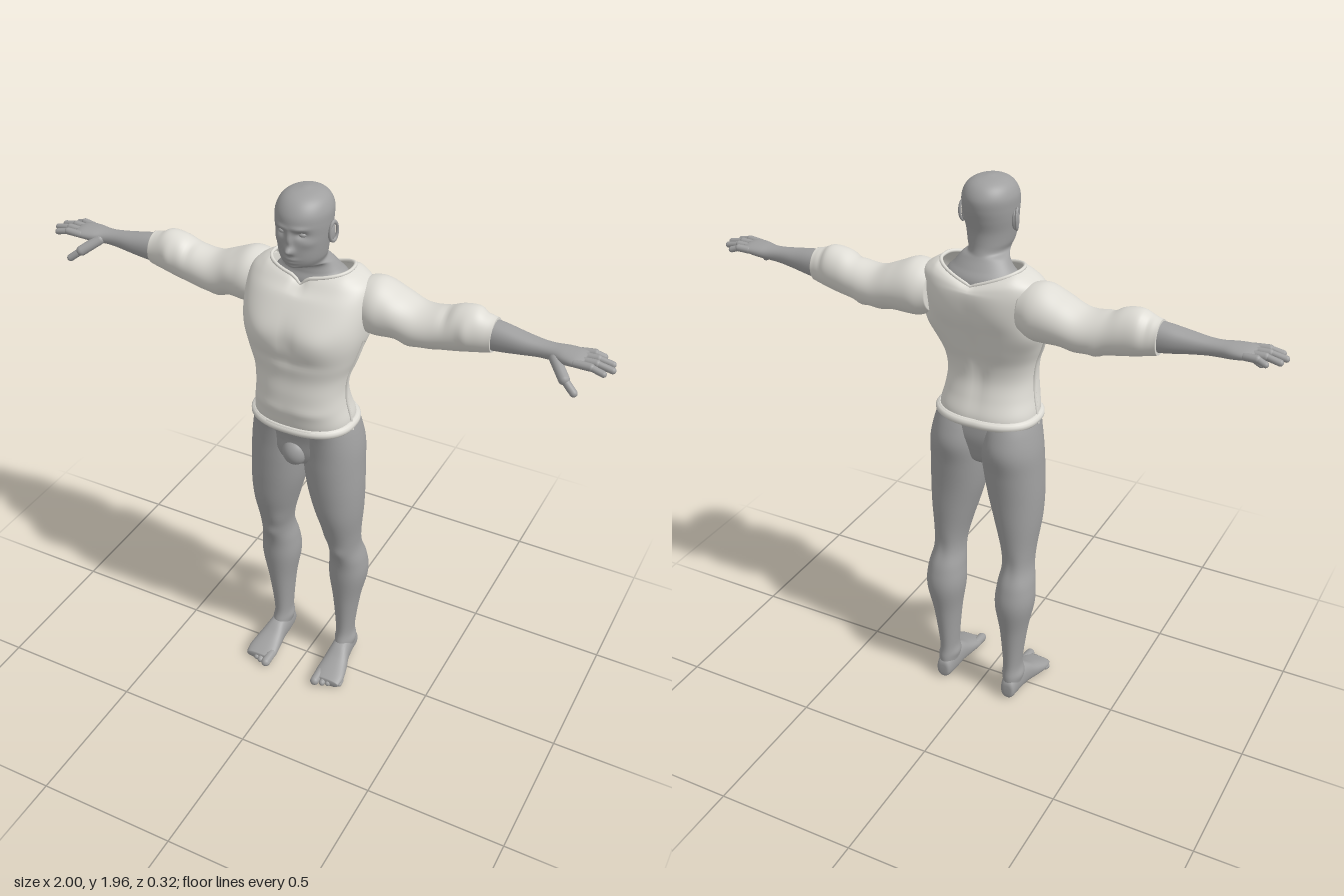
import * as THREE from 'three';

const skin = new THREE.MeshStandardMaterial({ color: 0xa0a0a0 });
skin.name = 'skin grey';
const cloth = new THREE.MeshStandardMaterial({ color: 0xdedcd5, side: THREE.DoubleSide });
cloth.name = 'shirt off-white';

// maps (distance along axis, ring a, ring b) to x, y, z
const AXES = {
  x: (t, a, b) => [t, a, b],
  y: (t, a, b) => [a, t, b],
  z: (t, a, b) => [a, b, t],
};

function spline(p0, p1, p2, p3, u) {
  const m1 = (p2 - p0) / 2, m2 = (p3 - p1) / 2, u2 = u * u, u3 = u2 * u;
  return (2 * u3 - 3 * u2 + 1) * p1 + (u3 - 2 * u2 + u) * m1 + (3 * u2 - 2 * u3) * p2 + (u3 - u2) * m2;
}

// Smooth skin over sections [t, a0, a1, b0, b1]; bumps are [x, y, z, rx, ry, rz, height], mirrored in x
function loft(axis, sections, { segs = 40, sub = 6, n = 2, bumps = [], caps = [true, true], warp } = {}) {
  const rows = [];
  const last = sections.length - 1;
  for (let i = 0; i < last; i++) {
    const s = [i - 1, i, i + 1, i + 2].map((k) => sections[Math.min(last, Math.max(0, k))]);
    for (let j = 0; j < sub; j++) rows.push(s[1].map((_, c) => spline(s[0][c], s[1][c], s[2][c], s[3][c], j / sub)));
  }
  rows.push(sections[last]);
  const pos = [], idx = [];
  const tri = (a, b, c) => (axis === 'y' ? idx.push(a, c, b) : idx.push(a, b, c));
  const round = (v) => Math.sign(v) * Math.abs(v) ** (2 / n);
  for (const [t, a0, a1, b0, b1] of rows) {
    for (let i = 0; i < segs; i++) {
      const th = (i / segs) * Math.PI * 2;
      const da = ((a1 - a0) / 2) * round(Math.cos(th)), db = ((b1 - b0) / 2) * round(Math.sin(th));
      const ca = (a0 + a1) / 2, cb = (b0 + b1) / 2;
      const [x, y, z] = AXES[axis](t, ca + da, cb + db);
      let push = 0;
      for (const [bx, by, bz, rx, ry, rz, h] of bumps) {
        push += h * Math.exp(-(((Math.abs(x) - bx) / rx) ** 2) - ((y - by) / ry) ** 2 - ((z - bz) / rz) ** 2);
      }
      const k = 1 + push / (Math.hypot(da, db) || 1);
      const p = AXES[axis](t, ca + da * k, cb + db * k);
      if (warp) warp(p);
      pos.push(...p);
    }
  }
  for (let r = 0; r < rows.length - 1; r++) {
    for (let i = 0; i < segs; i++) {
      const a = r * segs + i, b = r * segs + ((i + 1) % segs);
      tri(a, b, b + segs);
      tri(a, b + segs, a + segs);
    }
  }
  [0, rows.length - 1].forEach((r, end) => {
    if (!caps[end]) return;
    const [t, a0, a1, b0, b1] = rows[r];
    const c = pos.length / 3;
    pos.push(...AXES[axis](t, (a0 + a1) / 2, (b0 + b1) / 2));
    for (let i = 0; i < segs; i++) {
      const a = r * segs + i, b = r * segs + ((i + 1) % segs);
      end ? tri(a, b, c) : tri(b, a, c);
    }
  });
  const g = new THREE.BufferGeometry();
  g.setAttribute('position', new THREE.Float32BufferAttribute(pos, 3));
  g.setIndex(idx);
  g.computeVertexNormals();
  return g;
}

// symmetric section about x = 0
const sym = (list) => list.map(([y, w, z0, z1]) => [y, -w, w, z0, z1]);

function capsule(a, b, r) {
  const va = new THREE.Vector3(...a), vb = new THREE.Vector3(...b), d = vb.clone().sub(va);
  const g = new THREE.CapsuleGeometry(r, d.length(), 6, 12);
  g.applyQuaternion(new THREE.Quaternion().setFromUnitVectors(new THREE.Vector3(0, 1, 0), d.normalize()));
  return g.translate(...va.add(vb).multiplyScalar(0.5).toArray());
}

function ellipsoid(x, y, z, rx, ry, rz) {
  return new THREE.SphereGeometry(1, 24, 16).scale(rx, ry, rz).translate(x, y, z);
}

function mirrored(geo) {
  const g = geo.clone().scale(-1, 1, 1), id = g.index.array;
  for (let i = 0; i < id.length; i += 3) [id[i], id[i + 1]] = [id[i + 1], id[i]];
  g.computeVertexNormals();
  return g;
}

export function createModel() {
  const model = new THREE.Group();
  model.name = 'figure';
  const add = (name, geo, mat) => {
    const m = new THREE.Mesh(geo, mat);
    m.name = name;
    model.add(m);
  };
  const pair = (name, geo, mat) => {
    add(name + 'Left', geo, mat);
    add(name + 'Right', mirrored(geo), mat);
  };

  // Head and neck with sculpted face
  add('headAndNeck', loft('y', sym([
    [1.6, 0.13, -0.135, 0.045], [1.65, 0.125, -0.128, 0.04], [1.68, 0.1, -0.108, 0.03], [1.708, 0.079, -0.088, 0.036],
    [1.724, 0.064, -0.08, 0.09], [1.75, 0.072, -0.075, 0.108], [1.79, 0.079, -0.075, 0.113], [1.83, 0.085, -0.085, 0.114],
    [1.865, 0.088, -0.093, 0.118], [1.9, 0.087, -0.094, 0.113], [1.93, 0.073, -0.078, 0.093], [1.948, 0.047, -0.05, 0.063],
    [1.957, 0.008, -0.003, 0.015],
  ]), {
    segs: 96, sub: 8, bumps: [
      [0, 1.825, 0.12, 0.009, 0.025, 0.06, 0.012], [0, 1.79, 0.12, 0.013, 0.013, 0.06, 0.022],
      [0.034, 1.843, 0.1, 0.017, 0.011, 0.05, -0.011], [0.03, 1.865, 0.115, 0.025, 0.007, 0.05, 0.005],
      [0, 1.76, 0.115, 0.022, 0.006, 0.05, 0.006], [0, 1.747, 0.115, 0.019, 0.005, 0.05, 0.006],
      [0, 1.728, 0.1, 0.02, 0.01, 0.05, 0.007], [0.05, 1.815, 0.09, 0.02, 0.015, 0.04, 0.004],
    ],
  }), skin);
  pair('eye', ellipsoid(0.034, 1.843, 0.091, 0.014, 0.009, 0.012), skin);
  pair('ear', ellipsoid(0.088, 1.825, 0.005, 0.01, 0.034, 0.018).rotateX(0), skin);
  pair('earRim', new THREE.TorusGeometry(0.02, 0.005, 8, 24).scale(0.85, 1.55, 1)
    .rotateY(Math.PI / 2 - 0.3).translate(0.094, 1.828, 0.003), skin);

  // Shirt body with dipped neckline
  const segs = 72;
  const shirt = loft('y', sym([
    [1.14, 0.172, -0.122, 0.132], [1.17, 0.17, -0.118, 0.14], [1.22, 0.16, -0.1, 0.147], [1.28, 0.155, -0.085, 0.145],
    [1.34, 0.163, -0.09, 0.14], [1.4, 0.183, -0.11, 0.147], [1.47, 0.202, -0.132, 0.154], [1.53, 0.21, -0.15, 0.145],
    [1.6, 0.213, -0.16, 0.105], [1.645, 0.203, -0.155, 0.07], [1.672, 0.17, -0.145, 0.052], [1.687, 0.138, -0.13, 0.04],
  ]), {
    segs, n: 2.4, caps: [true, false], bumps: [
      [0.09, 1.49, 0.14, 0.06, 0.05, 0.06, 0.009], [0, 1.48, 0.15, 0.02, 0.07, 0.05, -0.006],
      [0, 1.38, -0.11, 0.025, 0.16, 0.06, -0.012], [0.1, 1.55, -0.15, 0.06, 0.06, 0.05, 0.006],
      [0.2, 1.46, -0.09, 0.07, 0.06, 0.06, 0.018], [0.07, 1.22, 0.14, 0.08, 0.02, 0.05, 0.004],
      [0, 1.41, 0.15, 0.12, 0.02, 0.05, -0.005],
    ],
    warp: (p) => {
      const k = Math.max(0, (p[1] - 1.62) / 0.067), front = p[2] > -0.04;
      p[1] -= k * Math.max(0, 1 - Math.abs(p[0]) / 0.135) * (front ? 0.028 : 0.052);
      if (front) p[1] -= k * 0.02 * Math.exp(-((p[0] / 0.018) ** 2));
    },
  });
  add('shirtBody', shirt, cloth);

  // Rolled collar and hem follow the open rings of the shirt
  const ringTube = (row, r) => {
    const pts = [];
    for (let i = 0; i < segs; i++) pts.push(new THREE.Vector3().fromBufferAttribute(shirt.attributes.position, row * segs + i));
    return new THREE.TubeGeometry(new THREE.CatmullRomCurve3(pts, true), 144, r, 10, true);
  };
  add('collar', ringTube(66, 0.006), cloth);
  add('hemRoll', ringTube(0, 0.015), cloth);
  add('hemFold', ringTube(2, 0.009), cloth);
  pair('sideSeam', new THREE.TubeGeometry(new THREE.CatmullRomCurve3([
    [0.176, 1.12, 0.01], [0.169, 1.17, 0.012], [0.156, 1.25, 0.02], [0.163, 1.34, 0.02], [0.185, 1.4, 0.015], [0.206, 1.47, 0.005],
  ].map((p) => new THREE.Vector3(...p))), 40, 0.006, 8), cloth);

  // Sleeves
  pair('sleeve', loft('x', [
    [0.16, 1.5, 1.65, -0.145, 0.01], [0.2, 1.478, 1.664, -0.16, 0.025], [0.24, 1.475, 1.664, -0.163, 0.03],
    [0.3, 1.478, 1.638, -0.16, 0.02], [0.37, 1.47, 1.612, -0.152, 0.015], [0.44, 1.478, 1.62, -0.142, 0.006],
    [0.5, 1.487, 1.643, -0.138, 0.002], [0.55, 1.497, 1.648, -0.133, -0.004], [0.595, 1.507, 1.63, -0.12, -0.014],
    [0.613, 1.512, 1.626, -0.117, -0.017],
  ], {
    segs: 48, bumps: [
      [0.34, 1.48, -0.05, 0.025, 0.04, 0.06, 0.008], [0.42, 1.48, -0.1, 0.02, 0.05, 0.06, 0.007],
      [0.46, 1.62, -0.03, 0.015, 0.04, 0.05, -0.006], [0.53, 1.58, -0.01, 0.02, 0.04, 0.03, 0.006],
      [0.575, 1.62, -0.1, 0.012, 0.05, 0.05, -0.006], [0.29, 1.6, 0.01, 0.03, 0.04, 0.04, 0.005],
    ],
  }), cloth);

  // Forearms and palms
  pair('forearmAndPalm', loft('x', [
    [0.58, 1.518, 1.622, -0.112, -0.02], [0.64, 1.525, 1.615, -0.108, -0.02], [0.7, 1.535, 1.605, -0.099, -0.022],
    [0.76, 1.543, 1.597, -0.09, -0.028], [0.8, 1.546, 1.595, -0.09, -0.025], [0.84, 1.55, 1.596, -0.098, -0.01],
    [0.88, 1.557, 1.594, -0.1, -0.002], [0.905, 1.564, 1.588, -0.095, -0.006],
  ], { segs: 36, n: 2.2 }), skin);

  // Fingers, little to index, then thumb: [base z, tip z, tip x]
  [[-0.089, -0.099, 0.945], [-0.065, -0.069, 0.98], [-0.039, -0.037, 0.989], [-0.014, -0.006, 0.97]].forEach(([z0, z1, x], i) => {
    const mid = [(0.89 + x) / 2, 1.579, (z0 + z1) / 2];
    pair('fingerBase' + i, capsule([0.88, 1.576, z0], mid, 0.0125), skin);
    pair('fingerTip' + i, capsule(mid, [x, 1.57, z1], 0.0105), skin);
  });
  pair('thumbBase', capsule([0.815, 1.565, -0.03], [0.862, 1.532, 0.015], 0.018), skin);
  pair('thumbTip', capsule([0.862, 1.532, 0.015], [0.9, 1.503, 0.03], 0.0125), skin);

  // Pelvis and legs
  add('pelvis', loft('y', sym([
    [0.955, 0.03, -0.06, 0.06], [0.98, 0.09, -0.09, 0.09], [1.02, 0.16, -0.105, 0.1], [1.08, 0.184, -0.115, 0.105],
    [1.15, 0.168, -0.11, 0.12],
  ]), { n: 2.3 }), skin);
  add('groin', ellipsoid(0, 1.02, 0.085, 0.045, 0.05, 0.04), skin);
  pair('leg', loft('y', [
    [0.05, 0.102, 0.165, -0.118, 0], [0.09, 0.1, 0.166, -0.12, -0.006], [0.15, 0.1, 0.163, -0.115, -0.018],
    [0.3, 0.088, 0.182, -0.13, -0.004], [0.42, 0.07, 0.206, -0.149, 0.01], [0.5, 0.074, 0.203, -0.137, 0.016],
    [0.57, 0.083, 0.189, -0.115, 0.034], [0.64, 0.074, 0.191, -0.109, 0.052], [0.75, 0.043, 0.203, -0.114, 0.083],
    [0.85, 0.016, 0.207, -0.118, 0.095], [0.95, 0, 0.204, -0.127, 0.1], [1.03, -0.005, 0.199, -0.136, 0.102],
    [1.1, -0.002, 0.186, -0.126, 0.108], [1.15, 0.005, 0.172, -0.11, 0.118],
  ], {
    segs: 48, n: 2.15, bumps: [
      [0.135, 0.58, 0.03, 0.025, 0.03, 0.04, 0.007], [0.1, 0.65, 0.04, 0.025, 0.04, 0.05, 0.005],
      [0.135, 0.58, -0.115, 0.025, 0.05, 0.04, -0.006], [0.09, 1.05, -0.13, 0.06, 0.05, 0.05, 0.005],
      [0.1, 0.1, -0.07, 0.02, 0.02, 0.03, 0.006], [0.165, 0.09, -0.07, 0.02, 0.02, 0.03, 0.006],
    ],
  }), skin);

  // Feet and toes
  pair('foot', loft('z', [
    [-0.125, 0.125, 0.145, 0.025, 0.05], [-0.117, 0.108, 0.16, 0.006, 0.08], [-0.07, 0.1, 0.166, 0, 0.11],
    [-0.01, 0.097, 0.175, 0, 0.098], [0.04, 0.091, 0.19, 0, 0.068], [0.09, 0.087, 0.2, 0, 0.045], [0.125, 0.092, 0.194, 0.003, 0.03],
  ], { segs: 32, n: 2.3 }), skin);
  for (let i = 0; i < 5; i++) {
    const r = i === 0 ? 0.017 : 0.0125 - i * 0.0006, x = i === 0 ? 0.105 : 0.112 + i * 0.02;
    pair('toe' + i, capsule([x, r + 0.006, 0.09], [x, r, 0.138 - i * 0.008], r), skin);
  }
  return model;
}
